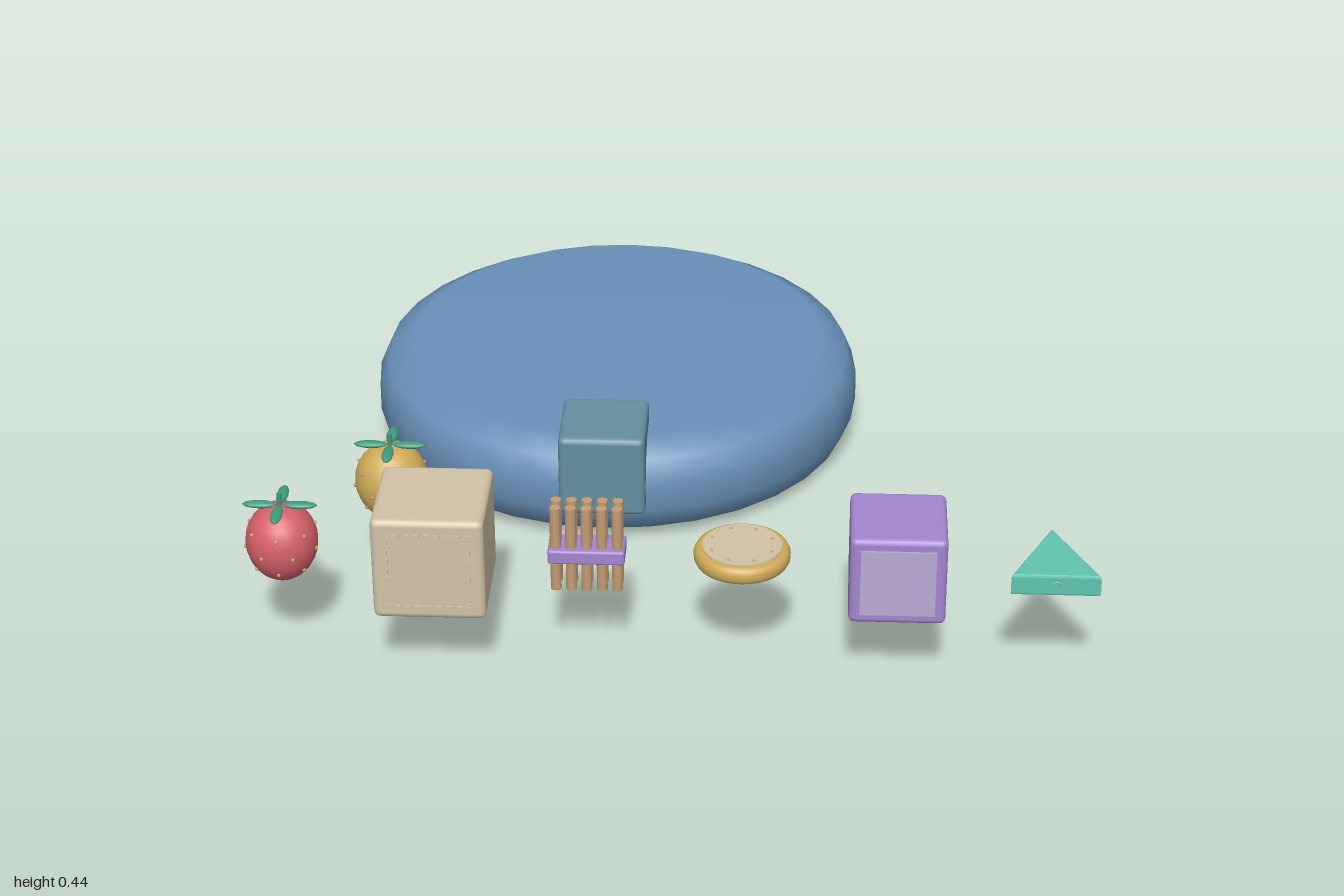
import * as THREE from 'three';
import { RoundedBoxGeometry } from 'three/addons/geometries/RoundedBoxGeometry.js';

const paint = (name, color) => {
  const m = new THREE.MeshStandardMaterial({ color });
  m.name = name;
  return m;
};

export function createModel() {
  const blue = paint('cushionBlue', 0x6890b8);
  const slate = paint('slateTeal', 0x648f9f);
  const red = paint('berryRed', 0xd45f69);
  const gold = paint('gold', 0xcfab58);
  const beige = paint('beige', 0xd0c2a6);
  const tan = paint('stickTan', 0xc49c76);
  const purple = paint('purple', 0xa285cf);
  const lavender = paint('lavender', 0xb9a8d6);
  const mint = paint('mint', 0x62c4b0);
  const leaf = paint('leafGreen', 0x419b7d);

  const model = new THREE.Group();
  const group = (name, x, y, z) => {
    const g = new THREE.Group();
    g.name = name;
    g.position.set(x, y, z);
    model.add(g);
    return g;
  };
  const add = (parent, name, geometry, material, x = 0, y = 0, z = 0) => {
    const m = new THREE.Mesh(geometry, material);
    m.name = name;
    m.position.set(x, y, z);
    parent.add(m);
    return m;
  };
  const box = (w, h, d, r) => new RoundedBoxGeometry(w, h, d, 2, r);
  const lathe = (pts, n) => new THREE.LatheGeometry(pts.map(p => new THREE.Vector2(...p)), n);

  // Large round cushion with a tag block on its front edge
  const cushion = group('cushion', -0.19, 0, -0.332);
  add(cushion, 'cushionBody', lathe([
    [0, 0], [0.54, 0], [0.605, 0.035], [0.63, 0.095],
    [0.63, 0.17], [0.605, 0.23], [0.54, 0.265], [0, 0.265],
  ], 32), blue);
  add(model, 'cushionTag', box(0.215, 0.215, 0.22, 0.015), slate, -0.19, 0.208, 0.213);

  // Berries: tapered body, seeds, four crossed leaves and a stem
  const radiusAt = t => Math.sin(Math.PI * t) * (0.95 + 0.1 * t);
  const berry = (name, x, z, r, skin, seedColor) => {
    const g = group(name, x, 0.207, z);
    const h = 0.195;
    const profile = [];
    for (let i = 0; i <= 14; i++) {
      const a = i / 14;
      const t = (1 - Math.cos(Math.PI * a)) / 2;
      profile.push([i % 14 ? r * radiusAt(a) : 0, h * t]);
    }
    add(g, 'berryBody', lathe(profile, 24), skin);
    [0.32, 0.48, 0.64].forEach((a, row) => {
      for (let i = 0; i < 7; i++) {
        const ang = (i + row * 0.5) / 7 * Math.PI * 2;
        const d = r * radiusAt(a);
        add(g, 'seed', new THREE.SphereGeometry(0.005, 6, 4), seedColor,
          Math.sin(ang) * d, h * (1 - Math.cos(Math.PI * a)) / 2, Math.cos(ang) * d);
      }
    });
    for (let i = 0; i < 4; i++) {
      const a = i * Math.PI / 2;
      const l = add(g, 'leaf', new THREE.SphereGeometry(1, 12, 8), leaf,
        Math.sin(a) * 0.047, h, Math.cos(a) * 0.047);
      l.scale.set(0.014, 0.008, 0.041);
      l.rotation.y = a;
    }
    add(g, 'stem', new THREE.CylinderGeometry(0.006, 0.006, 0.04, 8), leaf, 0, h + 0.01, 0);
  };
  berry('redBerry', -0.905, 0.81, 0.085, red, gold);
  berry('goldenBerry', -0.683, 0.517, 0.088, gold, tan);

  // Beige cube with raised stitching on the front
  const cube = group('stitchedCube', -0.548, 0.31, 0.81);
  add(cube, 'cubeBody', box(0.262, 0.262, 0.262, 0.016), beige);
  for (const s of [-1, 1]) {
    for (let i = 0; i < 9; i++) {
      const p = (i - 4) * 0.0235;
      add(cube, 'stitch', new THREE.BoxGeometry(0.014, 0.006, 0.008), beige, p, s * 0.095, 0.132);
      add(cube, 'stitch', new THREE.BoxGeometry(0.006, 0.014, 0.008), beige, s * 0.095, p, 0.13);
    }
  }

  // Bundle of sticks held by a band
  const bundle = group('stickBundle', -0.19, 0.312, 0.808);
  for (let i = -2; i <= 2; i++) {
    for (const s of [-1, 1]) {
      add(bundle, 'stick', new THREE.CylinderGeometry(0.013, 0.013, 0.218, 10), tan, i * 0.036, 0, s * 0.019);
    }
  }
  add(bundle, 'band', box(0.18, 0.036, 0.084, 0.006), purple, 0, -0.014, 0);

  // Round biscuit with an inset top disc and small dots
  const biscuit = group('biscuit', 0.172, 0.298, 0.81);
  add(biscuit, 'biscuitBody', lathe([
    [0, -0.023], [0.098, -0.023], [0.108, -0.017], [0.113, -0.007],
    [0.113, 0.007], [0.108, 0.017], [0.098, 0.022], [0, 0.022],
  ], 32), gold);
  add(biscuit, 'biscuitTop', new THREE.CylinderGeometry(0.093, 0.093, 0.006, 32), beige, 0, 0.022, 0);
  for (let i = 0; i < 8; i++) {
    const a = i * Math.PI / 4 + 0.4;
    add(biscuit, 'dot', new THREE.SphereGeometry(0.004, 6, 4), gold,
      Math.cos(a) * 0.076, 0.025, Math.sin(a) * 0.076);
  }

  // Purple cube with a pale front panel
  const panelCube = group('panelCube', 0.533, 0.298, 0.813);
  add(panelCube, 'cubeBody', box(0.224, 0.224, 0.224, 0.014), purple);
  add(panelCube, 'frontPanel', new THREE.BoxGeometry(0.174, 0.17, 0.009), lavender, 0, 0, 0.113);

  // Flat triangular wedge, pointing back
  const b = 0.006;
  const tri = new THREE.Shape([
    new THREE.Vector2(-0.096, -0.101), new THREE.Vector2(0.096, -0.101), new THREE.Vector2(0, 0.098),
  ]);
  const wedgeGeo = new THREE.ExtrudeGeometry(tri, {
    depth: 0.054 - 2 * b, bevelEnabled: true, bevelThickness: b, bevelSize: b, bevelSegments: 2,
  });
  wedgeGeo.rotateX(-Math.PI / 2);
  const wedge = group('triangleWedge', 0.895, 0.27, 0.813);
  add(wedge, 'wedgeBody', wedgeGeo, mint, 0, b, 0);
  const hook = new THREE.TorusGeometry(0.011, 0.003, 6, 10, Math.PI * 0.75);
  add(wedge, 'frontHook', hook, mint, 0, 0.026, 0.107);

  return model;
}
